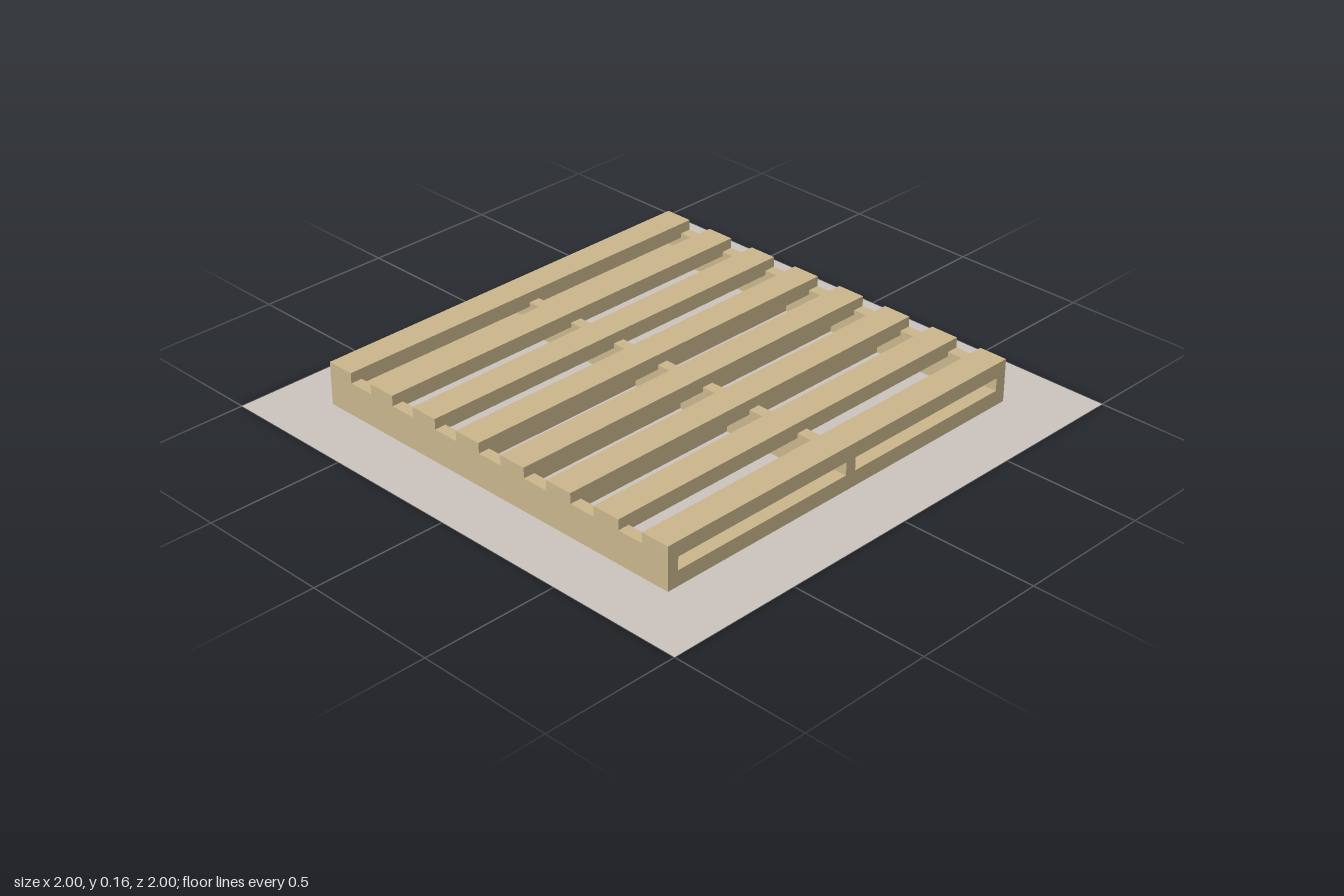
import * as THREE from 'three';

export function createModel() {
  const model = new THREE.Group();
  const wood = new THREE.MeshStandardMaterial({ color: 0xc9b58b });
  const floor = new THREE.MeshStandardMaterial({ color: 0xcac2bd, side: THREE.DoubleSide });

  // Axis-aligned board given by its lower and upper corners
  function board(name, [x0, y0, z0], [x1, y1, z1]) {
    const mesh = new THREE.Mesh(new THREE.BoxGeometry(x1 - x0, y1 - y0, z1 - z0), wood);
    mesh.position.set((x0 + x1) / 2, (y0 + y1) / 2, (z0 + z1) / 2);
    mesh.name = name;
    model.add(mesh);
  }

  const left = -0.782, right = 0.785, back = -0.797, front = 0.757;
  const width = 0.107, base = 0.001;
  const pitch = (front - back - width) / 7;

  // Flat square the pallet rests on
  const ground = new THREE.Mesh(new THREE.PlaneGeometry(2, 2).rotateX(-Math.PI / 2), floor);
  ground.name = 'groundSheet';
  model.add(ground);

  // Eight deck slats, let slightly into the stringers
  for (let i = 0; i < 8; i++) {
    const z = back + i * pitch;
    board('deckSlat' + (i + 1), [left, 0.105, z], [right, 0.16, z + width]);
  }

  // Three stringers running front to back
  [[left, -0.739], [0.003, 0.046], [0.742, right]].forEach(([x0, x1], i) =>
    board('stringer' + (i + 1), [x0, base, back], [x1, 0.122, front]));

  // Bottom boards: one at each end and three in the middle
  [back, -0.283, -0.073, 0.138, front - width].forEach((z, i) =>
    board('bottomBoard' + (i + 1), [left, base, z], [right, 0.057, z + width]));

  return model;
}
